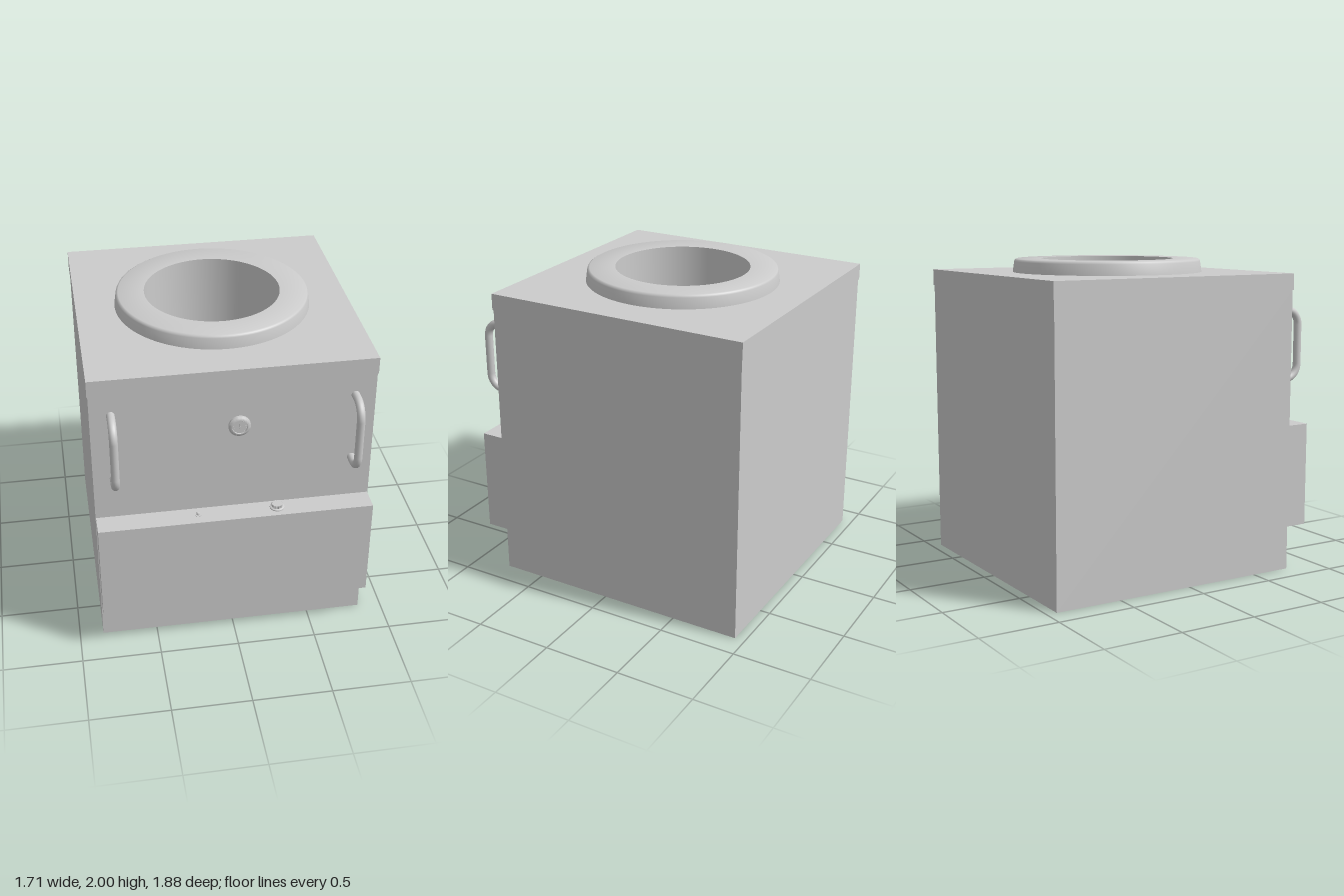
import * as THREE from 'three';
import { toCreasedNormals } from 'three/addons/utils/BufferGeometryUtils.js';

const V = (x, y, z) => new THREE.Vector3(x, y, z);
const POT_Z = -0.085, MOUTH = 0.425;

export function createModel() {
  const model = new THREE.Group();
  const mat = new THREE.MeshStandardMaterial({ color: 0xcccccc });

  const add = (name, geo, x = 0, y = 0, z = 0, parent = model) => {
    const mesh = new THREE.Mesh(geo, mat);
    mesh.name = name;
    mesh.position.set(x, y, z);
    parent.add(mesh);
    return mesh;
  };
  const group = (name, x, y, z) => {
    const g = new THREE.Group();
    g.name = name;
    g.position.set(x, y, z);
    model.add(g);
    return g;
  };
  const lathe = (pts, sides = 64) => toCreasedNormals(
    new THREE.LatheGeometry(pts.map(p => new THREE.Vector2(p[0], p[1])), sides), 0.8);

  // Cabinet: a box without its upper face, which the worktop closes
  const box = new THREE.BoxGeometry(1.7, 1.81, 1.7);
  const idx = Array.from(box.index.array);
  idx.splice(12, 6);
  box.setIndex(idx);
  box.clearGroups();
  add('cabinet', box, 0, 0.905, POT_Z);

  // Worktop with a round opening
  const top = new THREE.Shape([[-1, -1], [1, -1], [1, 1], [-1, 1]]
    .map(([x, y]) => new THREE.Vector2(x * 0.855, y * 0.855)));
  top.holes.push(new THREE.Path().absarc(0, 0, MOUTH + 0.03, 0, Math.PI * 2, true));
  const topGeo = new THREE.ExtrudeGeometry(top, { depth: 0.105, bevelEnabled: false, curveSegments: 32 });
  topGeo.rotateX(-Math.PI / 2);
  add('worktop', topGeo, 0, 1.81, POT_Z);

  // Raised collar, continuing down as the deep oven pot
  add('collarAndPot', lathe([
    [0.612, 1.913], [0.602, 1.983], [0.597, 1.994], [0.587, 2],
    [MOUTH, 2], [MOUTH, 0.3], [0, 0.3],
  ], 96), 0, 0, POT_Z);

  // Control box on the front
  add('controlBox', new THREE.BoxGeometry(1.694, 0.665, 0.15), 0, 0.6125, 0.835);

  // Bent tube handles
  const bar = new THREE.CurvePath();
  const [y0, y1, zin, zout, r] = [1.23, 1.675, 0.76, 0.915, 0.095];
  const a = V(0, y0, zin), b = V(0, y0, zout - r), c = V(0, y0 + r, zout);
  const d = V(0, y1 - r, zout), e = V(0, y1, zout - r), f = V(0, y1, zin);
  const k = 0.5523 * r;
  bar.add(new THREE.LineCurve3(a, b));
  bar.add(new THREE.CubicBezierCurve3(b, V(0, y0, b.z + k), V(0, c.y - k, zout), c));
  bar.add(new THREE.LineCurve3(c, d));
  bar.add(new THREE.CubicBezierCurve3(d, V(0, d.y + k, zout), V(0, y1, e.z + k), e));
  bar.add(new THREE.LineCurve3(e, f));
  for (const [name, x] of [['leftHandle', 0.725], ['rightHandle', -0.725]]) {
    add(name, new THREE.TubeGeometry(bar, 64, 0.025, 16), x);
  }

  // Thermometer: rimmed dial with tick marks and pointer
  const gauge = group('thermometer', 0.03, 1.53, 0.765);
  const dial = lathe([[0.067, -0.005], [0.067, 0.013], [0.06, 0.018], [0.052, 0.024], [0.046, 0.024], [0.045, 0.016], [0, 0.016]], 48);
  dial.rotateX(Math.PI / 2);
  add('dial', dial, 0, 0, 0, gauge);
  for (let i = 0; i < 11; i++) {
    const t = (i / 10 - 0.5) * Math.PI * 1.5;
    const tick = add('tick', new THREE.BoxGeometry(0.002, 0.007, 0.002),
      Math.sin(t) * 0.038, Math.cos(t) * 0.038, 0.0165, gauge);
    tick.rotation.z = -t;
  }
  add('pointer', new THREE.BoxGeometry(0.004, 0.05, 0.002), 0, 0, 0.02, gauge);
  const hub = new THREE.CylinderGeometry(0.006, 0.006, 0.008, 16);
  hub.rotateX(Math.PI / 2);
  add('hub', hub, 0, 0, 0.019, gauge);

  // Knurled rotary knob on a collar
  const knob = group('knob', 0.26, 0.945, 0.83);
  add('knobCollar', lathe([[0.045, 0], [0.045, 0.006], [0.04, 0.009], [0, 0.009]], 32), 0, 0, 0, knob);
  const grip = new THREE.Shape();
  for (let i = 0; i < 48; i++) {
    const t = i / 48 * Math.PI * 2, rad = i % 2 ? 0.034 : 0.031;
    grip[i ? 'lineTo' : 'moveTo'](Math.cos(t) * rad, Math.sin(t) * rad);
  }
  const gripGeo = new THREE.ExtrudeGeometry(grip, { depth: 0.022, bevelEnabled: false });
  gripGeo.rotateX(-Math.PI / 2);
  add('knobGrip', gripGeo, 0, 0.006, 0, knob);

  // Small push button
  add('button', lathe([[0.02, 0], [0.02, 0.003], [0.01, 0.003], [0.01, 0.016], [0.007, 0.02], [0, 0.02]], 24), -0.23, 0.945, 0.83);

  return model;
}
